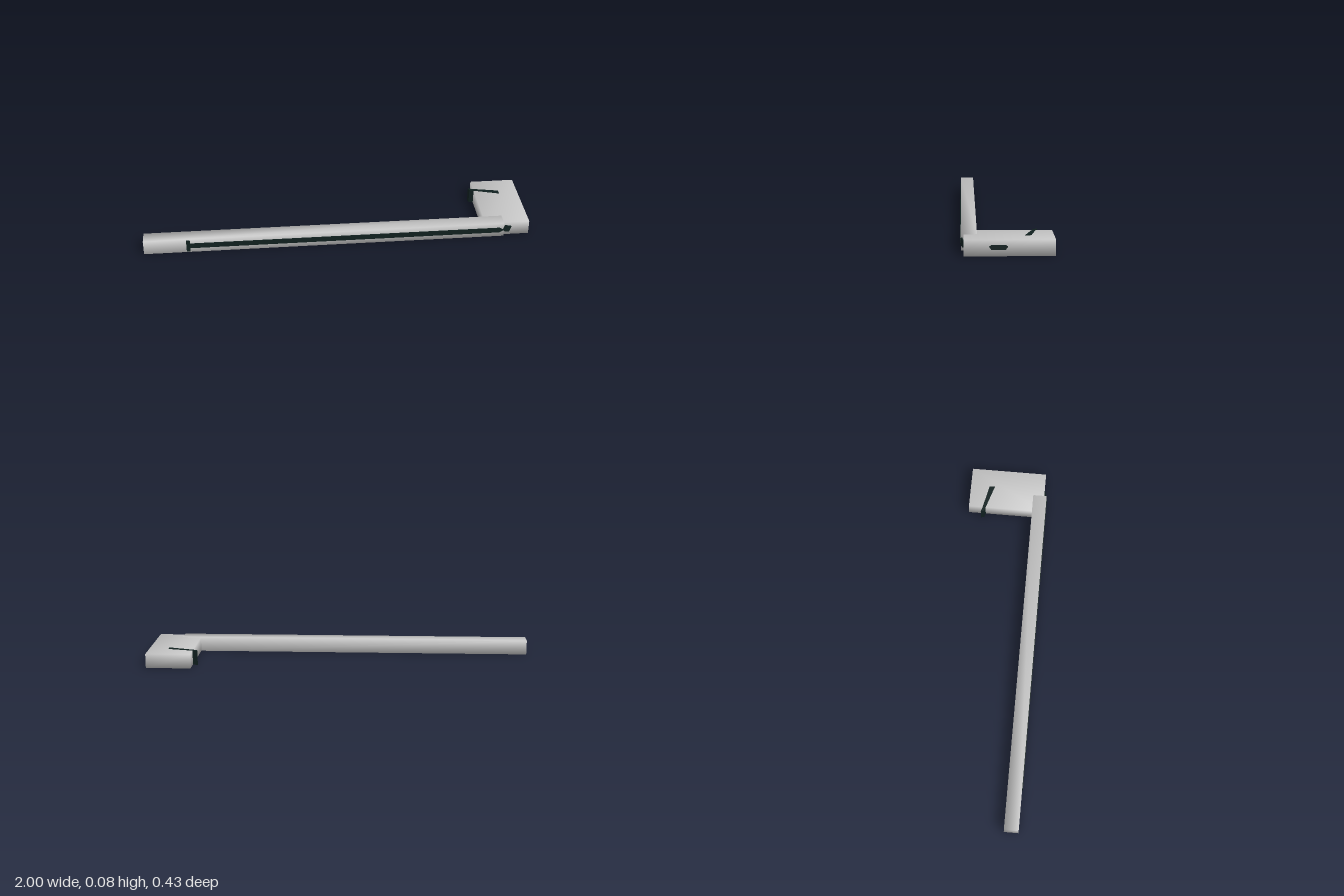
import * as THREE from 'three';
import { mergeVertices } from 'three/addons/utils/BufferGeometryUtils.js';

const grey = new THREE.MeshStandardMaterial({ color: 0xc4c4c4 });
grey.name = 'light grey';
const dark = new THREE.MeshStandardMaterial({ color: 0x10201f });
dark.name = 'dark green';

// Box between two corners with normals shared across its edges
function softBox(name, [x0, y0, z0], [x1, y1, z1]) {
  let geo = new THREE.BoxGeometry(x1 - x0, y1 - y0, z1 - z0);
  geo.translate((x0 + x1) / 2, (y0 + y1) / 2, (z0 + z1) / 2);
  geo.deleteAttribute('normal');
  geo.deleteAttribute('uv');
  geo = mergeVertices(geo);
  geo.computeVertexNormals();
  const mesh = new THREE.Mesh(geo, grey);
  mesh.name = name;
  return mesh;
}

// Thin plate cut to an outline in the XY plane, extruded towards +z
function plate(name, outline, depth) {
  const shape = new THREE.Shape(outline.map(([x, y]) => new THREE.Vector2(x, y)));
  const geo = new THREE.ExtrudeGeometry(shape, { depth, bevelEnabled: false });
  const mesh = new THREE.Mesh(geo, dark);
  mesh.name = name;
  return mesh;
}

export function createModel() {
  const group = new THREE.Group();
  group.name = 'angledBar';

  // Long bar and the short block across its end
  group.add(softBox('longBar', [-1, 0, 0.135], [0.858, 0.0765, 0.209]));
  group.add(softBox('endBlock', [0.76, 0.0006, -0.213], [0.992, 0.075, 0.196]));

  // Front stripe with its cross mark
  const stripe = plate('frontStripe', [
    [-0.77, 0.025], [0.835, 0.025], [0.857, 0.038], [0.835, 0.052], [-0.77, 0.052],
  ], 0.006);
  stripe.position.z = 0.207;
  group.add(stripe);
  const cross = plate('stripeCross', [
    [-0.783, 0.005], [-0.764, 0.005], [-0.764, 0.072], [-0.783, 0.072],
  ], 0.006);
  cross.position.z = 0.207;
  group.add(cross);

  // Small tip that slopes from the bar down to the block
  const tip = plate('stripeTip', [
    [0.85, 0.04], [0.864, 0.025], [0.888, 0.02], [0.9, 0.05], [0.864, 0.062],
  ], 0.006);
  const pos = tip.geometry.attributes.position;
  for (let i = 0; i < pos.count; i++) {
    pos.setZ(i, pos.getZ(i) + 0.206 - (pos.getX(i) - 0.85) * 0.26);
  }
  tip.geometry.computeVertexNormals();
  group.add(tip);

  // Six-sided mark on the outer side of the block
  const sideMark = plate('sideMark', [
    [-0.073, 0.03], [-0.01, 0.03], [0, 0.045], [-0.008, 0.051], [-0.074, 0.051], [-0.084, 0.045],
  ], 0.009);
  sideMark.rotation.y = Math.PI / 2;
  sideMark.position.x = 0.991;
  group.add(sideMark);

  // Wedge set through the block, flush with its top and bottom
  const wedge = plate('throughWedge', [
    [0.733, 0.145], [0.738, 0.127], [0.893, 0.08], [0.89, 0.11], [0.757, 0.138],
  ], 0.0758);
  wedge.rotation.x = -Math.PI / 2;
  group.add(wedge);

  return group;
}
